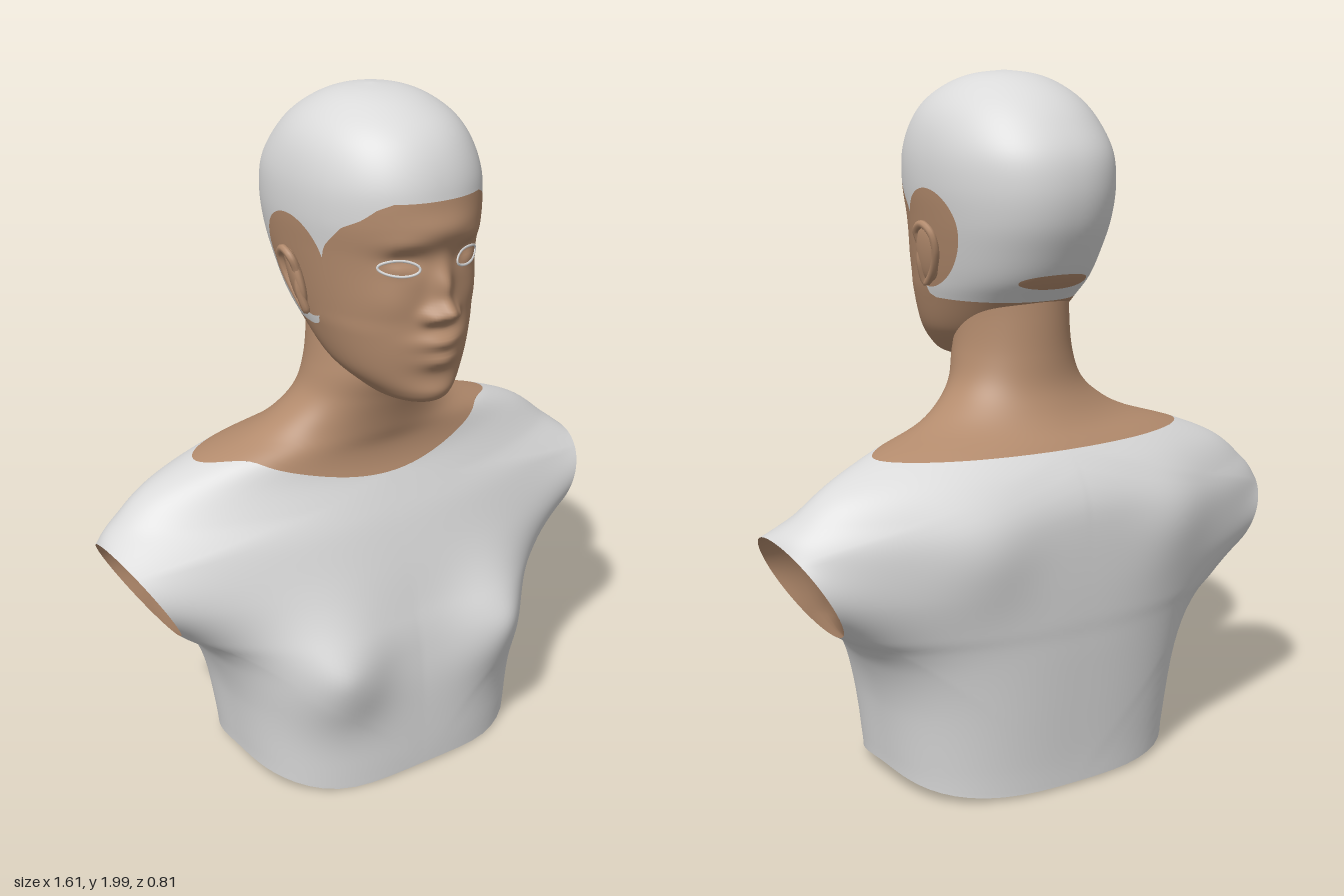
import * as THREE from 'three';
import { mergeGeometries, mergeVertices } from 'three/addons/utils/BufferGeometryUtils.js';

const skin = new THREE.MeshStandardMaterial({ color: 0xb38b6d, side: THREE.DoubleSide });
skin.name = 'skin';
const cloth = new THREE.MeshStandardMaterial({ color: 0xdadada });
cloth.name = 'light grey cloth';

// Horizontal sections: height, half width, front z, back z, roundness exponent, sleeve reach
const BODY = [
  [-0.05, 0.44, 0.305, -0.355, 2.7, 0], [0, 0.445, 0.305, -0.36, 2.7, 0], [0.1, 0.455, 0.305, -0.365, 2.7, 0],
  [0.28, 0.485, 0.297, -0.38, 2.6, 0], [0.4, 0.515, 0.28, -0.39, 2.5, 0.015], [0.47, 0.535, 0.265, -0.395, 2.5, 0.05],
  [0.52, 0.555, 0.25, -0.4, 2.5, 0.1], [0.64, 0.595, 0.215, -0.405, 2.5, 0.17], [0.77, 0.615, 0.17, -0.405, 2.4, 0.19],
  [0.85, 0.59, 0.135, -0.395, 2.2, 0.15], [0.92, 0.555, 0.105, -0.36, 2.1, 0.095], [0.98, 0.49, 0.095, -0.31, 2, 0.02],
  [1.03, 0.35, 0.105, -0.26, 1.85, 0], [1.08, 0.26, 0.115, -0.225, 1.9, 0], [1.14, 0.2, 0.13, -0.2, 2, 0],
  [1.22, 0.174, 0.15, -0.19, 2, 0], [1.32, 0.16, 0.13, -0.185, 2, 0], [1.42, 0.155, 0.08, -0.18, 2, 0],
];
const HEAD = [
  [1.175, 0, 0.22, 0.22, 2], [1.185, 0.075, 0.305, 0.09, 2], [1.22, 0.125, 0.332, 0, 2.05],
  [1.28, 0.176, 0.333, -0.09, 2.1], [1.38, 0.212, 0.336, -0.19, 2.2], [1.44, 0.226, 0.335, -0.25, 2.2],
  [1.52, 0.241, 0.335, -0.295, 2.2], [1.6, 0.254, 0.338, -0.328, 2.2], [1.69, 0.265, 0.35, -0.34, 2.2],
  [1.78, 0.263, 0.345, -0.325, 2.2], [1.86, 0.243, 0.315, -0.275, 2.1], [1.92, 0.205, 0.265, -0.215, 2.05],
  [1.965, 0.147, 0.19, -0.14, 2], [1.99, 0.082, 0.11, -0.065, 2], [2, 0, 0.02, 0.02, 2],
];
// Soft bumps: |x|, y, x spread, y spread, height
const BODY_FRONT = [[0.29, 0.4, 0.15, 0.16, 0.075], [0.3, 0.41, 0.055, 0.055, 0.008]];
const BODY_BACK = [[0.32, 0.75, 0.14, 0.15, -0.025]];
const FACE = [
  [0, 1.45, 0.036, 0.03, 0.056], [0, 1.52, 0.03, 0.055, 0.035], [0.042, 1.44, 0.022, 0.02, 0.024],
  [0, 1.37, 0.065, 0.022, 0.025], [0, 1.314, 0.055, 0.022, 0.02], [0, 1.343, 0.1, 0.05, 0.014],
  [0, 1.215, 0.07, 0.03, 0.01], [0, 1.67, 0.12, 0.045, 0.018], [0.11, 1.64, 0.06, 0.025, 0.008],
  [0.1, 1.59, 0.045, 0.03, -0.022], [0.11, 1.575, 0.035, 0.02, 0.012], [0.14, 1.48, 0.06, 0.06, 0.01],
];

const lerp = THREE.MathUtils.lerp;

// Smooth blend between table rows
function sample(rows, t) {
  const i = Math.min(Math.max(Math.floor(t), 0), rows.length - 2), f = t - i;
  const at = k => rows[Math.min(Math.max(k, 0), rows.length - 1)];
  return rows[0].map((_, c) => {
    const a = at(i - 1)[c], b = at(i)[c], d = at(i + 1)[c], e = at(i + 2)[c];
    return b + 0.5 * f * (d - a + f * (2 * a - 5 * b + 4 * d - e + f * (3 * (b - d) + e - a)));
  });
}

function rowAt(rows, y) {
  let lo = 0, hi = rows.length - 1;
  for (let k = 0; k < 30; k++) {
    const m = (lo + hi) / 2;
    if (sample(rows, m)[0] < y) lo = m; else hi = m;
  }
  return (lo + hi) / 2;
}

// Point on a sectioned surface; angle 0 is the front, PI the back
function surface(rows, t, angle, front, back, inset) {
  const [y, w, zf, zb, n, reach = 0] = sample(rows, t);
  const s = Math.sin(angle), c = Math.cos(angle);
  const r = 1 / Math.pow(Math.abs(s) ** n + Math.abs(c) ** n, 1 / n);
  const x = Math.max(w - inset, 0) * s * r + reach * Math.sign(s) * s ** 4;
  let z = (zf + zb) / 2 + Math.max((zf - zb) / 2 - inset, 0) * c * r;
  for (const [bx, by, sx, sy, h] of c > 0 ? front : back) {
    z += h * Math.min(1, Math.abs(c) * 3) * Math.exp(-(((Math.abs(x) - bx) / sx) ** 2) - ((y - by) / sy) ** 2);
  }
  return [x, y, z];
}
const bodyPoint = (y, angle, inset) => surface(BODY, rowAt(BODY, y), angle, BODY_FRONT, BODY_BACK, inset);
const headPoint = (t, angle, inset) => surface(HEAD, t, angle, FACE, [], inset);

// Angle at which a section reaches a given z ratio
const angleFromZ = (q, n) => Math.atan2(Math.pow(1 - Math.abs(q) ** n, 1 / n), q);

function grid(nu, nv, f) {
  const pos = [], idx = [];
  for (let j = 0; j <= nv; j++) for (let i = 0; i <= nu; i++) pos.push(...f(i / nu, j / nv));
  for (let j = 0; j < nv; j++) for (let i = 0; i < nu; i++) {
    const a = j * (nu + 1) + i, b = a + nu + 1;
    idx.push(a, a + 1, b, a + 1, b + 1, b);
  }
  const g = new THREE.BufferGeometry();
  g.setAttribute('position', new THREE.Float32BufferAttribute(pos, 3));
  g.setIndex(idx);
  return g;
}

function weld(g) {
  const m = mergeVertices(g, 1e-4);
  m.computeVertexNormals();
  return m;
}

// Joins a left half with its mirror image
function mirrored(g) {
  const m = g.clone().scale(-1, 1, 1);
  m.setIndex(Array.from(g.index.array).reverse());
  return weld(mergeGeometries([g, m]));
}

// Neckline and hem heights around the body
const collar = a => 0.98 - 0.08 * Math.exp(-((a / 0.58) ** 2)) + 0.016 * Math.exp(-(((a - 1.05) / 0.35) ** 2));
const hem = a => 0.015 + 0.05 * Math.sin(a) ** 4 - 0.012 * Math.exp(-(((a - 0.6) / 0.3) ** 2));

// Half torso: rings running from the sleeve opening out to hem, collar and centre lines
function halfTorso(inset) {
  return grid(128, 40, (u, s) => {
    const phi = u * Math.PI * 2, c = Math.cos(phi), d = Math.sin(phi);
    const holeY = 0.65 + 0.147 * d, holeZ = -0.085 + 0.183 * c;
    const [, , zf, zb, n] = sample(BODY, rowAt(BODY, holeY));
    const holeA = angleFromZ((holeZ - (zf + zb) / 2) / ((zf - zb) / 2), n);
    const m = Math.max(Math.abs(c), Math.abs(d));
    const edgeA = Math.PI / 2 * (1 - c / m);
    const edgeY = lerp(hem(edgeA), collar(edgeA), (d / m + 1) / 2);
    const a = lerp(holeA, edgeA, s), y = lerp(holeY, edgeY, s);
    // The lining meets the cloth at every open edge
    const gap = Math.min(1, 10 * s, 12 * (collar(a) - y), 25 * (y - hem(a)));
    const p = bodyPoint(y, a, inset * Math.max(gap, 0));
    // Draw the sleeve end out to a slanted plane
    p[0] += (0.72 + (holeY - 0.65) * 0.58 - bodyPoint(holeY, holeA, 0)[0]) * (1 - s) ** 4;
    return p;
  });
}

// Cap edge: angle in degrees and height, dipping at the temple and running under the ear
const CAP_EDGE = [[0, 1.75], [30, 1.75], [38, 1.735], [46, 1.705], [56, 1.68], [61, 1.65], [66, 1.62],
  [71, 1.54], [80, 1.43], [88, 1.385], [96, 1.375], [180, 1.375]];
function capEdge(angle) {
  const deg = Math.abs(angle > Math.PI ? 2 * Math.PI - angle : angle) * 180 / Math.PI;
  const k = Math.max(1, CAP_EDGE.findIndex(e => e[0] >= deg - 1e-6));
  const [a, b] = [CAP_EDGE[k - 1], CAP_EDGE[k]];
  return rowAt(HEAD, lerp(a[1], b[1], (deg - a[0]) / (b[0] - a[0])));
}

// Thin oval of skin lying on the head
function headPatch(name, angle, y, halfAngle, halfHeight) {
  const mesh = new THREE.Mesh(weld(grid(40, 16, (u, v) => {
    const e = -Math.cos(u * Math.PI);
    const dy = halfHeight * Math.sqrt(Math.max(0, 1 - e * e)) * (2 * v - 1);
    return headPoint(rowAt(HEAD, y + dy), angle + e * halfAngle, -0.004);
  })), skin);
  mesh.name = name;
  return mesh;
}

function createEar() {
  const ear = new THREE.Group();
  ear.name = 'ear';
  const bowl = new THREE.Mesh(new THREE.SphereGeometry(1, 24, 16), skin);
  bowl.name = 'earBowl';
  bowl.scale.set(0.018, 0.085, 0.04);
  const rimPath = new THREE.CatmullRomCurve3([[0.002, -0.09, 0.015], [0.008, -0.05, -0.02], [0.016, 0.02, -0.045],
    [0.018, 0.07, -0.035], [0.013, 0.088, 0], [0.006, 0.065, 0.03], [0, 0.02, 0.026], [0.008, -0.03, 0.024]]
    .map(p => new THREE.Vector3(...p)), true);
  const rim = new THREE.Mesh(new THREE.TubeGeometry(rimPath, 48, 0.011, 8, true), skin);
  rim.name = 'earRim';
  ear.add(bowl, rim);
  ear.position.set(0.25, 1.505, 0.025);
  ear.rotation.set(-0.12, 0.3, -0.2);
  return ear;
}

// Thin pale lid line following the face
function createEyeLine() {
  const pts = [];
  for (let k = 0; k < 20; k++) {
    const a = k / 20 * Math.PI * 2;
    const x = 0.11 + 0.05 * Math.cos(a), y = 1.575 + 0.02 * Math.sin(a) + 0.08 * (x - 0.11);
    const t = rowAt(HEAD, y), [, w, , , n] = sample(HEAD, t);
    const p = x / w;
    pts.push(new THREE.Vector3(...headPoint(t, Math.atan2(p, Math.pow(1 - p ** n, 1 / n)), 0)));
  }
  const line = new THREE.Mesh(new THREE.TubeGeometry(new THREE.CatmullRomCurve3(pts, true), 48, 0.004, 6, true), cloth);
  line.name = 'eyeLine';
  return line;
}

export function createModel() {
  const model = new THREE.Group();
  model.name = 'bust';
  const add = (name, geometry, material) => {
    const mesh = new THREE.Mesh(geometry, material);
    mesh.name = name;
    model.add(mesh);
  };
  const TAU = Math.PI * 2, top = HEAD.length - 1;

  // Short-sleeved top with its skin-coloured inside
  add('shirt', mirrored(halfTorso(0)), cloth);
  add('innerBody', mirrored(halfTorso(0.012)), skin);

  // Neck and shoulders above the collar
  add('neck', weld(grid(128, 40, (u, v) => bodyPoint(lerp(collar(Math.min(u, 1 - u) * TAU), 1.42, v), u * TAU, 0))), skin);

  // Head, divided along the cap edge
  add('face', weld(grid(216, 90, (u, v) => headPoint(v * capEdge(u * TAU), u * TAU, 0))), skin);
  add('cap', weld(grid(216, 50, (u, v) => headPoint(lerp(capEdge(u * TAU), top, v), u * TAU, 0))), cloth);

  // Small opening at the nape of the cap
  model.add(headPatch('napeOpening', Math.PI, 1.435, 0.5, 0.022));

  // Ears with their cap openings, and eyes
  for (const side of [1, -1]) {
    const features = new THREE.Group();
    features.name = side > 0 ? 'leftFeatures' : 'rightFeatures';
    features.add(createEar(), createEyeLine(), headPatch('earOpening', 1.56, 1.545, 0.4, 0.14));
    features.scale.x = side;
    model.add(features);
  }
  return model;
}
